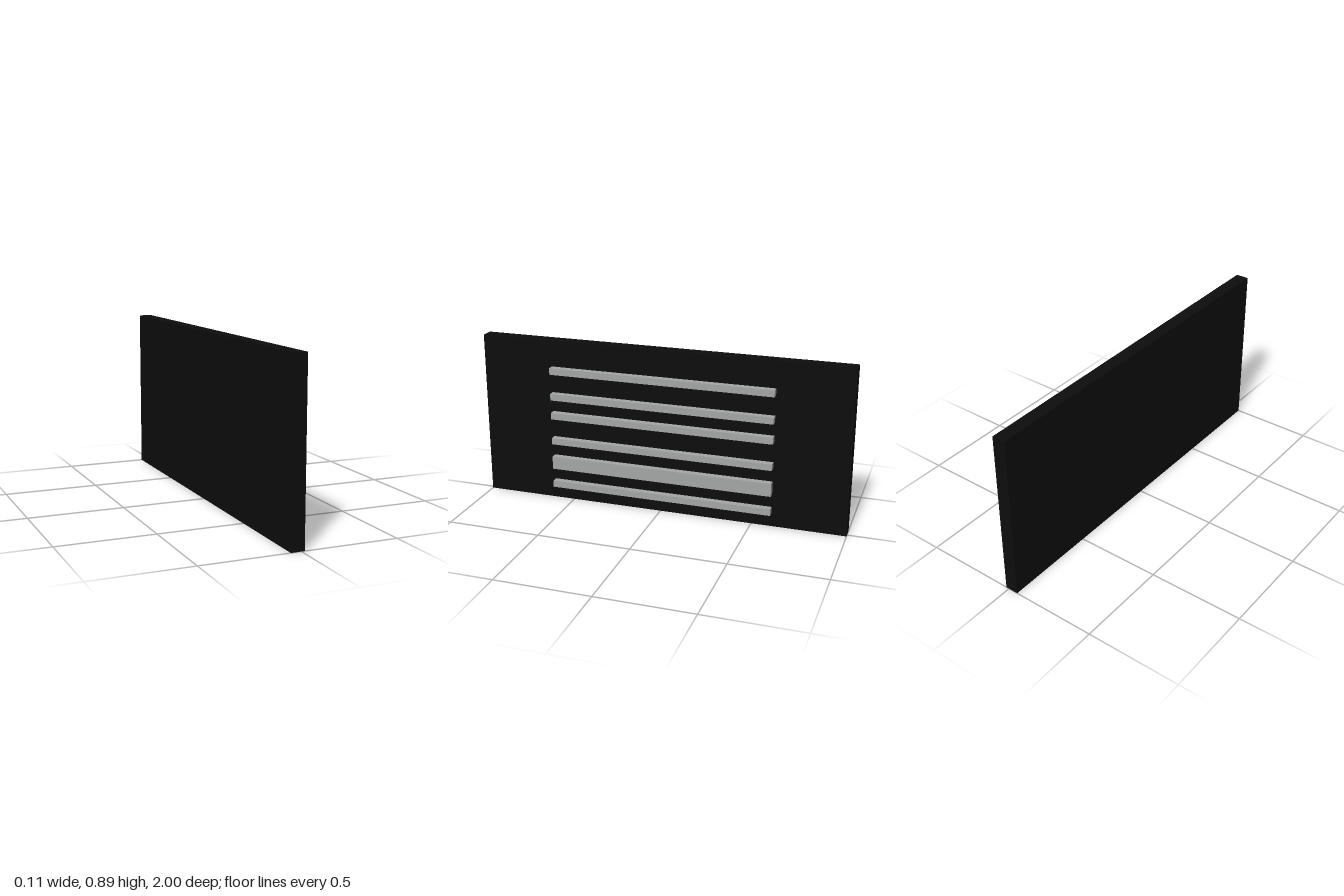
import * as THREE from 'three';

export function createModel() {
  const model = new THREE.Group();
  const black = new THREE.MeshStandardMaterial({ color: 0x0d0d0d });
  black.name = 'black';
  const grey = new THREE.MeshStandardMaterial({ color: 0xa3a6a5 });
  grey.name = 'grey';

  // Box spanning x0..x1 and y0..y1, centred on z
  function slab(name, material, x0, x1, y0, y1, length) {
    const mesh = new THREE.Mesh(new THREE.BoxGeometry(x1 - x0, y1 - y0, length), material);
    mesh.position.set((x0 + x1) / 2, (y0 + y1) / 2, 0);
    mesh.name = name;
    model.add(mesh);
  }

  // Upright back panel
  slab('panel', black, -0.053, 0.017, 0, 0.893, 2);

  // Raised horizontal bars: bottom and top heights, the second one is wider
  const bars = [
    [0.073, 0.109], [0.18, 0.251], [0.323, 0.358],
    [0.466, 0.502], [0.573, 0.609], [0.716, 0.752],
  ];
  bars.forEach(([y0, y1], i) => slab(`bar${i + 1}`, grey, 0.017, 0.053, y0, y1, 1.214));

  return model;
}
